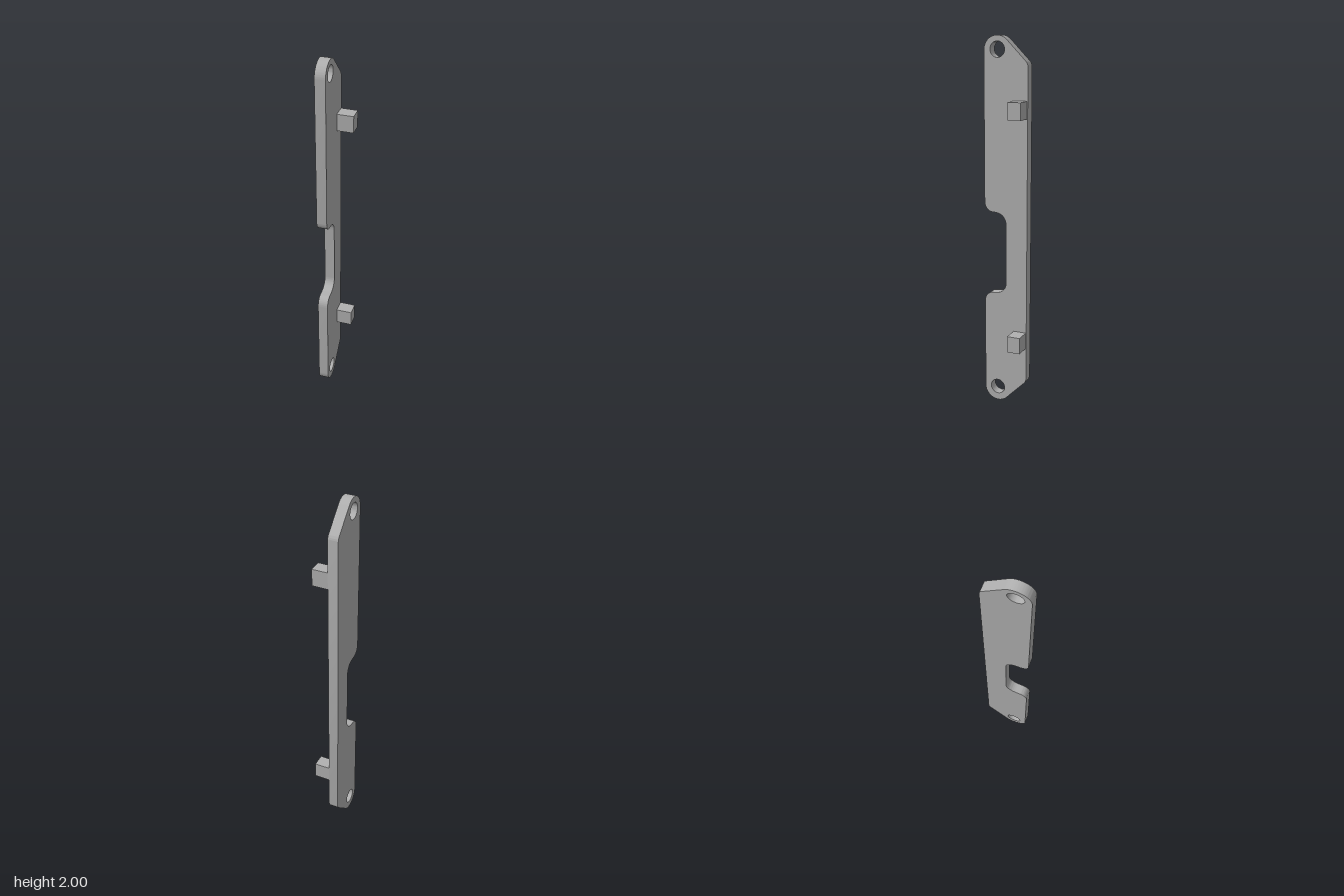
import * as THREE from 'three';
import { toCreasedNormals } from 'three/addons/utils/BufferGeometryUtils.js';

export function createModel() {
  const model = new THREE.Group();
  model.name = 'handlePlate';
  const metal = new THREE.MeshStandardMaterial({ color: 0xb0b0b0 });
  metal.name = 'grey metal';

  // Plate outline: shape x is minus the plate's depth, y is height
  const eyeX = -0.05, eyeR = 0.075, topY = 1.925, bottomY = 0.075;
  const outline = new THREE.Shape();
  outline.moveTo(-0.125, bottomY);
  outline.absarc(eyeX, bottomY, eyeR, Math.PI, Math.PI * 1.75, false);
  outline.lineTo(0.108, 0.127);
  outline.quadraticCurveTo(0.12, 0.139, 0.12, 0.16);
  outline.lineTo(0.12, 1.84);
  outline.quadraticCurveTo(0.12, 1.861, 0.108, 1.873);
  outline.absarc(eyeX, topY, eyeR, Math.PI / 4, Math.PI, false);
  // Grip notch with rounded corners
  outline.lineTo(-0.125, 1.14);
  outline.bezierCurveTo(-0.125, 1.105, -0.105, 1.083, -0.075, 1.083);
  outline.lineTo(-0.055, 1.081);
  outline.bezierCurveTo(-0.025, 1.078, 0, 1.055, 0, 1.015);
  outline.lineTo(0, 0.695);
  outline.bezierCurveTo(0, 0.66, -0.025, 0.637, -0.055, 0.634);
  outline.lineTo(-0.075, 0.632);
  outline.bezierCurveTo(-0.105, 0.632, -0.125, 0.61, -0.125, 0.575);
  outline.closePath();

  // Screw eyes at both ends
  for (const y of [0.08, 1.93]) {
    const hole = new THREE.Path();
    hole.absarc(eyeX, y, 0.041, 0, Math.PI * 2, true);
    outline.holes.push(hole);
  }

  const plateGeometry = new THREE.ExtrudeGeometry(outline, {
    depth: 0.054, bevelEnabled: false, curveSegments: 16,
  });
  plateGeometry.rotateY(Math.PI / 2).translate(-0.07, 0, 0);
  const plate = new THREE.Mesh(toCreasedNormals(plateGeometry, 0.6), metal);
  plate.name = 'plate';
  model.add(plate);

  // Square mounting pegs on the left face
  for (const [name, y] of [['lowerPeg', 0.38], ['upperPeg', 1.63]]) {
    const peg = new THREE.Mesh(new THREE.BoxGeometry(0.09, 0.09, 0.071), metal);
    peg.name = name;
    peg.position.set(0.025, y, -0.0815);
    model.add(peg);
  }

  // The whole piece is turned slightly about the vertical
  model.rotation.y = -0.083;
  const root = new THREE.Group();
  root.name = 'handle';
  root.add(model);
  return root;
}
